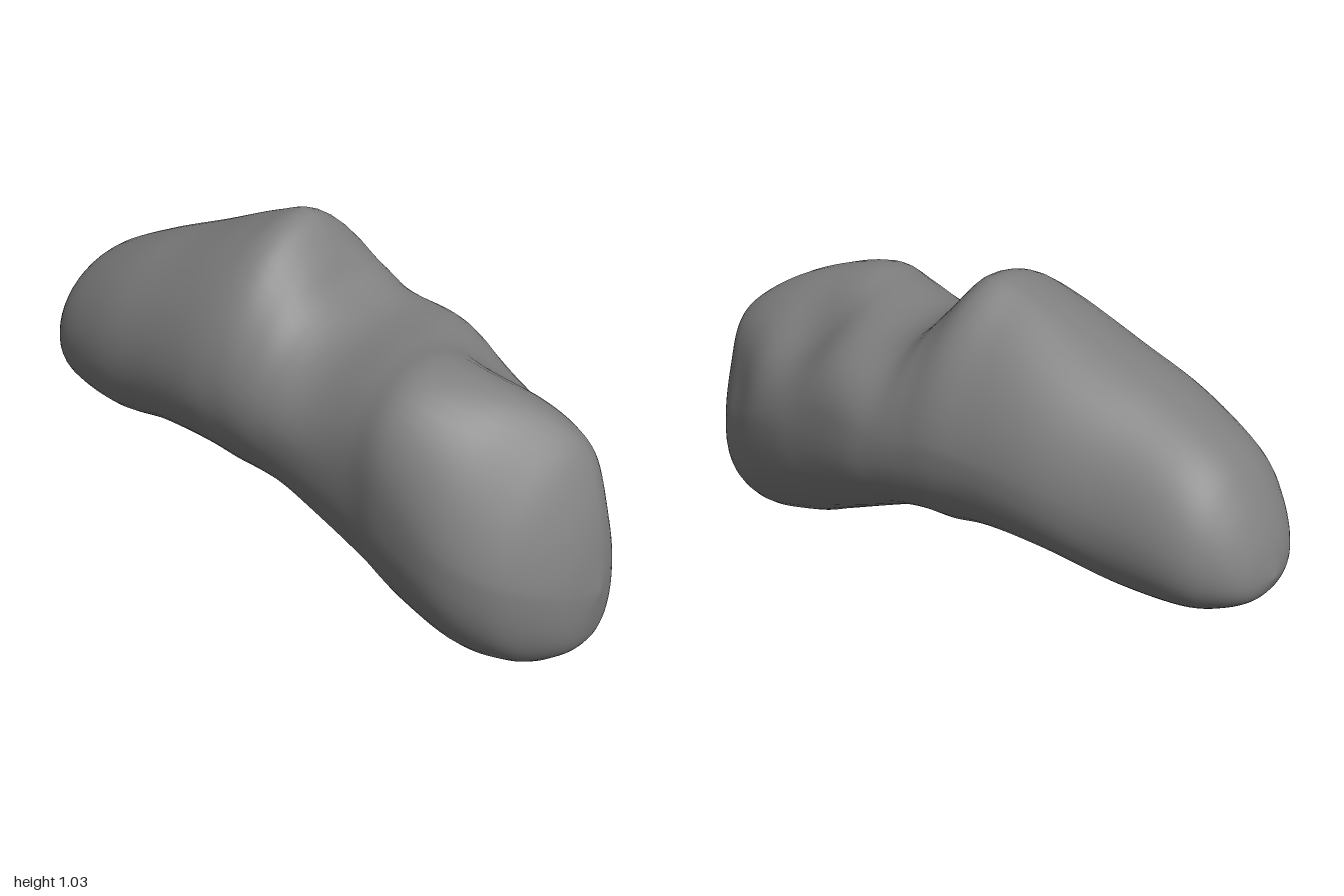
import * as THREE from 'three';
import { mergeVertices } from 'three/addons/utils/BufferGeometryUtils.js';

// Cross-sections along the body: x, top, bottom, back z, front z, crest z, height of widest point
const SECTIONS = [
  [-1.0, 0.41, 0.41, 0, 0, 0, 0.41],
  [-0.97, 0.52, 0.345, -0.105, 0.115, 0, 0.42],
  [-0.9, 0.64, 0.3, -0.18, 0.2, 0, 0.45],
  [-0.8, 0.735, 0.27, -0.23, 0.265, 0, 0.48],
  [-0.6, 0.835, 0.26, -0.265, 0.32, 0, 0.52],
  [-0.4, 0.915, 0.29, -0.31, 0.34, -0.02, 0.57],
  [-0.2, 1.0, 0.29, -0.335, 0.355, -0.04, 0.6],
  [-0.08, 1.03, 0.268, -0.35, 0.35, -0.05, 0.6],
  [0.02, 0.945, 0.268, -0.355, 0.345, -0.04, 0.57],
  [0.11, 0.85, 0.25, -0.36, 0.34, -0.02, 0.55],
  [0.22, 0.805, 0.2, -0.365, 0.34, 0, 0.53],
  [0.4, 0.818, 0.11, -0.35, 0.345, 0.07, 0.5],
  [0.53, 0.826, 0.048, -0.335, 0.358, 0.1, 0.46],
  [0.7, 0.78, 0.003, -0.295, 0.348, 0.05, 0.39],
  [0.83, 0.7, 0.006, -0.24, 0.295, -0.02, 0.34],
  [0.91, 0.61, 0.035, -0.18, 0.22, -0.05, 0.31],
  [0.97, 0.46, 0.1, -0.1, 0.12, -0.03, 0.28],
  [1.0, 0.26, 0.26, 0, 0, 0, 0.26],
];

// Hollows: centre, radius, push
const HOLLOWS = [
  [[0.53, 0.74, -0.16], 0.16, [0, -0.05, 0.01]],
  [[0.85, 0.46, -0.22], 0.16, [-0.025, 0, 0.025]],
  [[0.07, 0.85, -0.05], 0.12, [-0.015, -0.01, 0]],
];

const AROUND = 48;
const STEPS = 6;

// Smooth interpolation of all section values
function sectionAt(u) {
  const n = SECTIONS.length - 1;
  const i = Math.min(Math.floor(u), n - 1);
  const t = u - i;
  const row = (k) => SECTIONS[Math.max(0, Math.min(n, k))];
  return row(i).map((b, c) => {
    const a = row(i - 1)[c], d = row(i + 1)[c], e = row(i + 2)[c];
    return b + 0.5 * t * (d - a + t * (2 * a - 5 * b + 4 * d - e + t * (3 * (b - d) + e - a)));
  });
}

const power = (v, n) => Math.sign(v) * Math.abs(v) ** (2 / n);
const bell = (x, at, width) => Math.exp(-(((x - at) / width) ** 2));

// Squareness of each quarter: lean hump, square shoulder by the saddle, tapered big end
function squareness(x, upper, front) {
  const end = THREE.MathUtils.smoothstep(x, 0.5, 0.85);
  if (!upper) return 2.15 + (front ? 0.15 : 0.35) * end;
  if (front) return 2 - 0.38 * end;
  const small = THREE.MathUtils.smoothstep(-x, 0.1, 0.5);
  return 2 + bell(x, 0.28, 0.15) - 0.5 * bell(x, -0.12, 0.22) - 0.15 * small - 0.38 * end;
}

function sectionPoint([x, top, bottom, back, front, crest, mid], angle) {
  const c = Math.cos(angle), s = Math.sin(angle);
  const n = squareness(x, s > 0, c > 0);
  const centre = s > 0 ? crest * s ** 1.5 : 0;
  const p = new THREE.Vector3(
    x,
    mid + power(s, n) * (s > 0 ? top - mid : mid - bottom),
    centre + power(c, n) * (c > 0 ? front : -back)
  );
  const moved = p.clone();
  for (const [at, radius, push] of HOLLOWS) {
    const d = p.distanceTo(new THREE.Vector3(...at)) / radius;
    moved.addScaledVector(new THREE.Vector3(...push), Math.exp(-d * d));
  }
  return moved;
}

function bodyGeometry() {
  const rings = (SECTIONS.length - 1) * STEPS;
  const positions = [], index = [];
  for (let i = 0; i <= rings; i++) {
    const section = sectionAt(i / STEPS);
    for (let j = 0; j < AROUND; j++) {
      const p = sectionPoint(section, (j / AROUND) * Math.PI * 2);
      positions.push(p.x, p.y, p.z);
    }
  }
  for (let i = 0; i < rings; i++) {
    for (let j = 0; j < AROUND; j++) {
      const k = (j + 1) % AROUND;
      const a = i * AROUND + j, b = a + AROUND;
      const d = i * AROUND + k, e = d + AROUND;
      index.push(a, b, d, b, e, d);
    }
  }
  const geometry = new THREE.BufferGeometry();
  geometry.setAttribute('position', new THREE.Float32BufferAttribute(positions, 3));
  geometry.setIndex(index);
  const welded = mergeVertices(geometry, 1e-5);
  welded.computeVertexNormals();
  return welded;
}

export function createModel() {
  const rock = new THREE.MeshStandardMaterial({ color: 0x808080 });
  rock.name = 'rock grey';

  const body = new THREE.Mesh(bodyGeometry(), rock);
  body.name = 'asteroidBody';

  const model = new THREE.Group();
  model.name = 'asteroid';
  model.add(body);
  return model;
}
